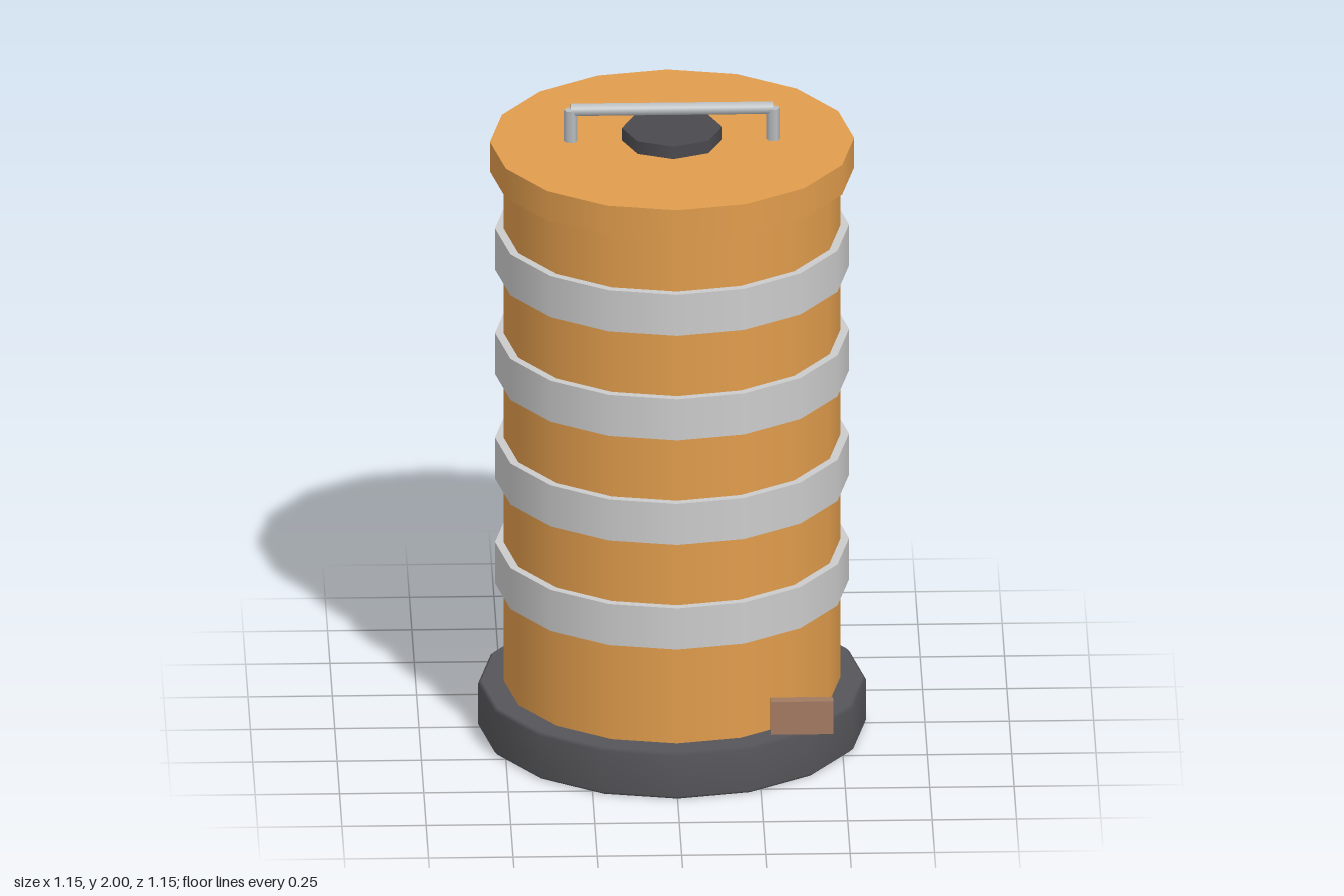
import * as THREE from 'three';

const paint = (color) => new THREE.MeshStandardMaterial({ color });
const orange = paint(0xe09c4c);
const white = paint(0xdededa);
const rubber = paint(0x56565a);
const dark = paint(0x4a494e);
const steel = paint(0xb8bcc0);
const brown = paint(0xa27a62);

export function createModel() {
  const model = new THREE.Group();
  model.name = 'trafficBarrel';

  const add = (name, geometry, material, x = 0, y = 0, z = 0) => {
    const mesh = new THREE.Mesh(geometry, material);
    mesh.name = name;
    mesh.position.set(x, y, z);
    model.add(mesh);
    return mesh;
  };
  // Upright cylinder from y0 to y1
  const drum = (name, r, y0, y1, material, sides = 16) =>
    add(name, new THREE.CylinderGeometry(r, r, y1 - y0, sides), material, 0, (y0 + y1) / 2);

  // Heavy base with softened rims
  const profile = [[0, 0], [0.565, 0], [0.575, 0.01], [0.575, 0.14], [0.565, 0.15], [0, 0.15]];
  add('base', new THREE.LatheGeometry(profile.map(([r, y]) => new THREE.Vector2(r, y)), 16), rubber);

  // Barrel body and lid
  drum('body', 0.5, 0.15, 1.8, orange);
  drum('lid', 0.54, 1.785, 1.88, orange);
  drum('lidCap', 0.148, 1.88, 1.92, dark, 8);

  // Reflective bands
  for (let i = 0; i < 4; i++) {
    const y = 0.462 + i * 0.336;
    drum('reflectiveBand', 0.525, y, y + 0.132, white);
  }

  // Carrying handle: two hexagonal legs and a crossbar
  for (const side of [-1, 1]) {
    const leg = add('handleLeg', new THREE.CylinderGeometry(0.02, 0.02, 0.1, 6), steel, side * 0.3, 1.93, 0);
    leg.rotation.y = Math.PI / 2;
  }
  const barGeometry = new THREE.CylinderGeometry(0.02, 0.02, 0.6, 6);
  barGeometry.rotateY(Math.PI / 2).rotateZ(Math.PI / 2);
  add('handleBar', barGeometry, steel, 0, 1.98, 0);

  // Small plate low on the front
  add('plate', new THREE.BoxGeometry(0.185, 0.105, 0.035), brown, 0.372, 0.228, 0.485);

  return model;
}
